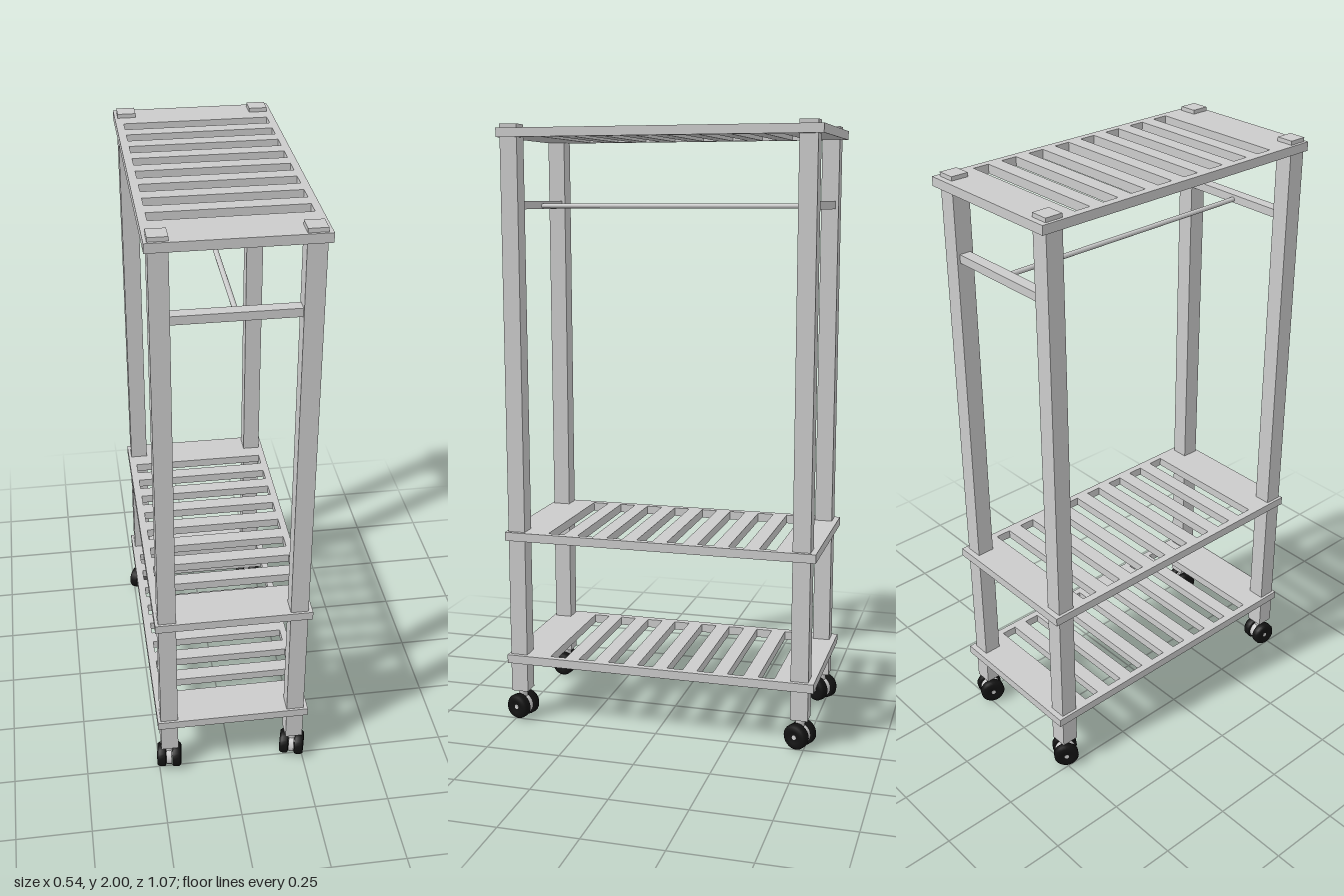
import * as THREE from 'three';

const grey = new THREE.MeshStandardMaterial({ color: 0xcccccc });
const black = new THREE.MeshStandardMaterial({ color: 0x111111 });

function add(parent, name, geometry, material, x = 0, y = 0, z = 0) {
  const mesh = new THREE.Mesh(geometry, material);
  mesh.name = name;
  mesh.position.set(x, y, z);
  parent.add(mesh);
  return mesh;
}

function rectangle(path, x0, x1, y0, y1) {
  path.moveTo(x0, y0);
  path.lineTo(x1, y0);
  path.lineTo(x1, y1);
  path.lineTo(x0, y1);
  path.closePath();
  return path;
}

// Shelf board with eight cross slots, lying flat with its underside at y = 0
function shelfGeometry() {
  const shape = rectangle(new THREE.Shape(), -0.253, 0.261, -0.523, 0.531);
  for (let i = 0; i < 8; i++) {
    const y = -0.375 + i * 0.1029;
    shape.holes.push(rectangle(new THREE.Path(), -0.228, 0.238, y, y + 0.054));
  }
  const geometry = new THREE.ExtrudeGeometry(shape, { depth: 0.029, bevelEnabled: false });
  return geometry.rotateX(-Math.PI / 2);
}

// Twin-wheel swivel caster, axle along x, centred on its axle
function createCaster() {
  const caster = new THREE.Group();
  caster.name = 'caster';
  const profile = [[0, 0.011], [0.037, 0.011], [0.042, 0.015], [0.042, 0.033], [0.036, 0.041], [0.02, 0.041], [0.018, 0.038], [0, 0.038]];
  for (const side of [-1, 1]) {
    const wheel = new THREE.LatheGeometry(profile.map(p => new THREE.Vector2(...p)), 24);
    add(caster, 'casterWheel', wheel.rotateZ(-side * Math.PI / 2), black);
  }
  // Body between the wheels, the axle and the swivel stem
  add(caster, 'casterBody', new THREE.CylinderGeometry(0.034, 0.034, 0.018, 24).rotateZ(Math.PI / 2), grey);
  add(caster, 'axle', new THREE.CylinderGeometry(0.008, 0.008, 0.078, 12).rotateZ(Math.PI / 2), grey);
  add(caster, 'stem', new THREE.CylinderGeometry(0.015, 0.015, 0.04, 16), grey, 0, 0.044, 0);
  return caster;
}

export function createModel() {
  const model = new THREE.Group();
  model.name = 'rollingShelf';

  // Shelves
  const shelf = shelfGeometry();
  for (const [name, y] of [['bottomShelf', 0.201], ['middleShelf', 0.632], ['topShelf', 1.958]]) {
    add(model, name, shelf, grey, 0, y, 0);
  }

  // Corner posts and casters, each caster swivelled a little differently
  const corners = [[-0.214, -0.483, -0.555], [0.218, -0.483, -0.36], [-0.214, 0.486, -0.13], [0.218, 0.486, -0.285]];
  for (const [x, z, turn] of corners) {
    add(model, 'post', new THREE.BoxGeometry(0.058, 1.902, 0.058), grey, x, 1.049, z);
    const caster = createCaster();
    caster.position.set(x, 0.042, z);
    caster.rotation.y = turn;
    model.add(caster);
  }

  // End rails between the posts, joined by a thin hanging rod
  for (const z of [-0.483, 0.486]) {
    add(model, 'endRail', new THREE.BoxGeometry(0.376, 0.027, 0.038), grey, 0.002, 1.744, z);
  }
  add(model, 'hangingRod', new THREE.CylinderGeometry(0.008, 0.008, 0.94, 16).rotateX(Math.PI / 2), grey, 0.005, 1.741, 0.0015);

  return model;
}
